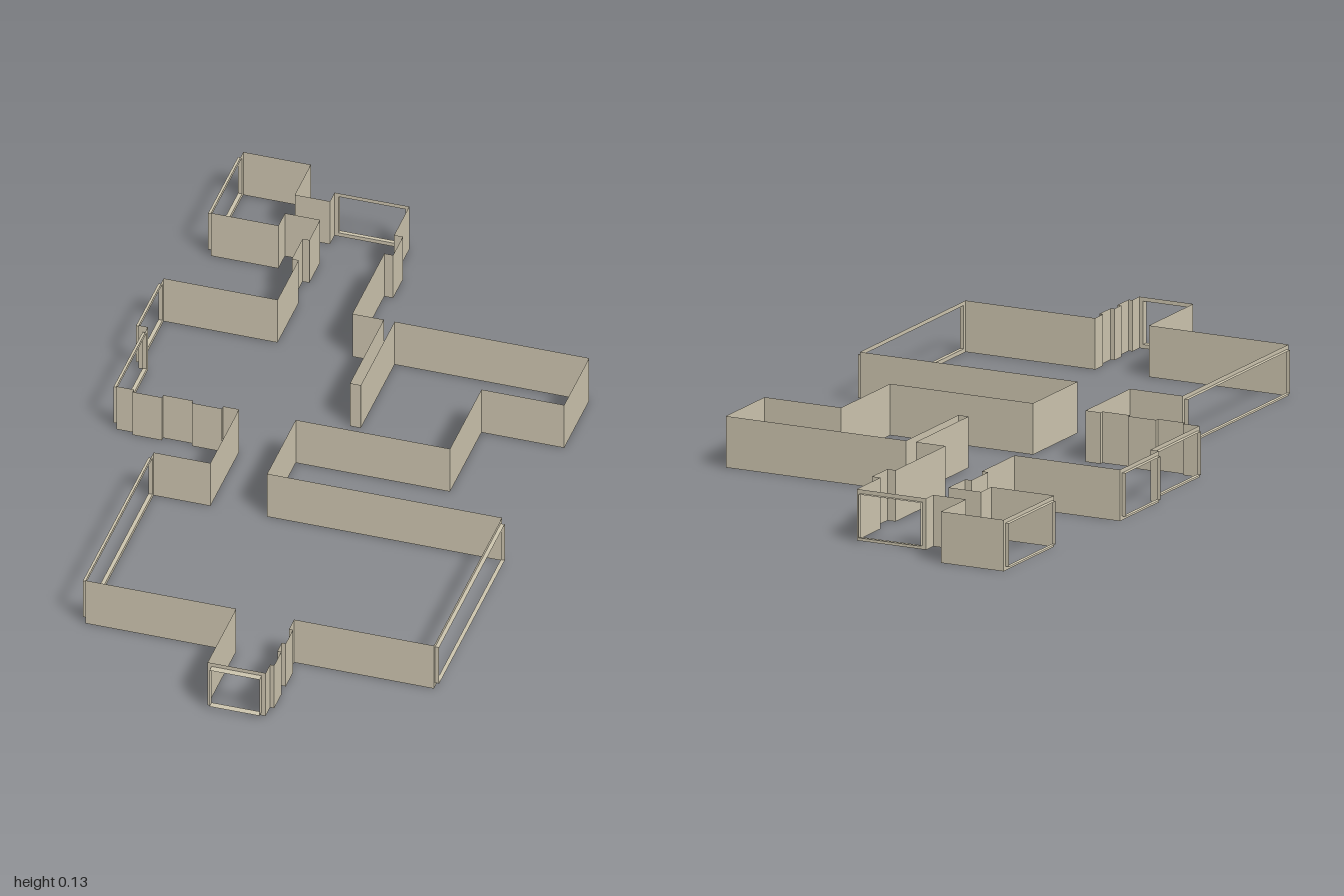
import * as THREE from 'three';

const H = 0.127;       // wall height
const BORDER = 0.01;   // rim left around a window opening

// Closed floor plan outline [x, z, window depth of the wall that starts here],
// clockwise seen from above.
const PLAN = [
  // north-west room and passage
  [-0.502, -1], [-0.333, -1], [-0.333, -0.873], [-0.245, -0.873],
  // north room, window on the north side
  [-0.245, -0.91, 0.01], [-0.058, -0.91], [-0.058, -0.79], [-0.036, -0.79],
  [-0.036, -0.712], [-0.058, -0.712], [-0.058, -0.458],
  // slot and east room
  [0.021, -0.458], [0.021, -0.19], [0.048, -0.19], [0.048, -0.458],
  [0.535, -0.458], [0.535, -0.26], [0.328, -0.26], [0.328, -0.01],
  // hallway to the large room, window on the east side
  [-0.058, -0.01], [-0.058, 0.217], [0.53, 0.217, 0.01], [0.53, 0.757],
  // entrance with two niches and an open front
  [0.18, 0.757], [0.18, 0.797], [0.19, 0.797], [0.19, 0.855], [0.18, 0.855],
  [0.18, 0.89], [0.19, 0.89], [0.19, 0.947], [0.18, 0.947],
  [0.18, 0.983, 0.017], [0.035, 0.983], [0.035, 0.757],
  // west side of the large room
  [-0.342, 0.757, 0.01], [-0.342, 0.217], [-0.2, 0.217], [-0.2, -0.01],
  // west room: two niches, two windows
  [-0.24, -0.01], [-0.24, 0], [-0.315, 0], [-0.315, -0.01],
  [-0.39, -0.01], [-0.39, 0], [-0.463, 0], [-0.463, -0.01],
  [-0.507, -0.01, 0.01], [-0.507, -0.26], [-0.53, -0.26, 0.01], [-0.53, -0.458],
  // back to the north-west room
  [-0.245, -0.458], [-0.245, -0.625], [-0.262, -0.625], [-0.262, -0.71],
  [-0.245, -0.71], [-0.245, -0.795], [-0.333, -0.795], [-0.333, -0.743],
  [-0.502, -0.743, 0.01],
];

function rectangle(Path, w, h) {
  return new Path([[-w, -h], [w, -h], [w, h], [-w, h]]
    .map(([x, y]) => new THREE.Vector2(x / 2, y / 2)));
}

export function createModel() {
  const model = new THREE.Group();
  model.name = 'floorPlanWalls';
  const plaster = new THREE.MeshStandardMaterial({ color: 0xccc4ae, side: THREE.DoubleSide });
  plaster.name = 'beige plaster';

  function add(parent, name, geometry) {
    const mesh = new THREE.Mesh(geometry, plaster);
    mesh.name = name;
    parent.add(mesh);
    return mesh;
  }

  PLAN.forEach(([x0, z0, depth], i) => {
    const [x1, z1] = PLAN[(i + 1) % PLAN.length];
    const dx = x1 - x0, dz = z1 - z0;
    const length = Math.hypot(dx, dz);

    // each wall is built facing local +z, then turned outward
    const wall = new THREE.Group();
    wall.name = depth ? 'windowWall' : 'wall';
    wall.position.set((x0 + x1) / 2, H / 2, (z0 + z1) / 2);
    wall.rotation.y = Math.atan2(dz, -dx);
    model.add(wall);

    if (!depth) {
      add(wall, 'wallPanel', new THREE.PlaneGeometry(length, H));
      return;
    }

    // rim around the opening
    const w = length - 2 * BORDER, h = H - 2 * BORDER;
    const rim = rectangle(THREE.Shape, length, H);
    rim.holes.push(rectangle(THREE.Path, w, h));
    add(wall, 'windowRim', new THREE.ShapeGeometry(rim));

    // reveal: four strips running outward from the opening
    for (const s of [-1, 1]) {
      const sill = add(wall, s < 0 ? 'windowSill' : 'windowHead', new THREE.PlaneGeometry(w, depth));
      sill.rotation.x = -s * Math.PI / 2;
      sill.position.set(0, s * h / 2, depth / 2);
      const jamb = add(wall, 'windowJamb', new THREE.PlaneGeometry(depth, h));
      jamb.rotation.y = s * Math.PI / 2;
      jamb.position.set(s * w / 2, 0, depth / 2);
    }
  });
  return model;
}
